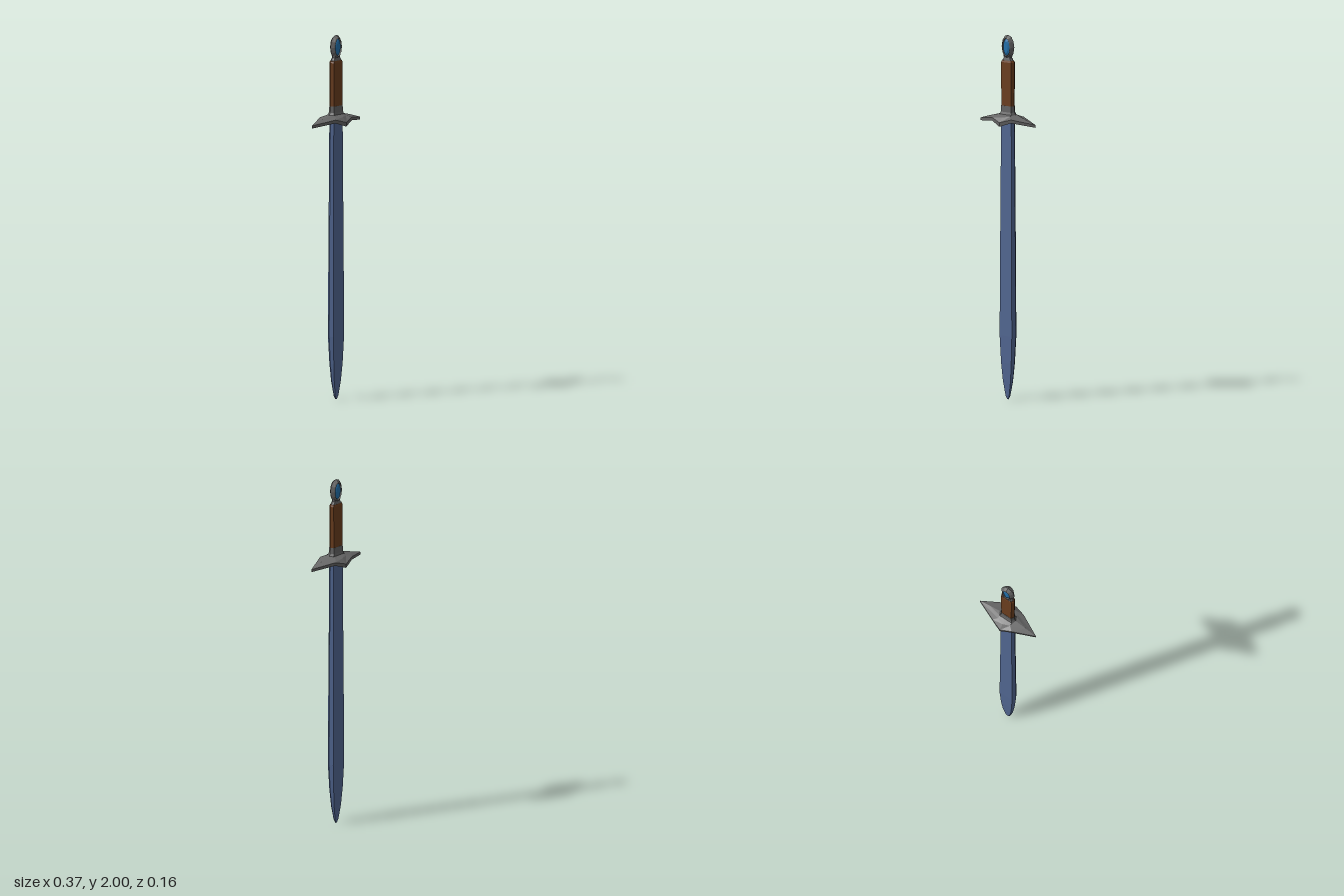
import * as THREE from 'three';

const steel = 0x546a96, leather = 0x6e4020, iron = 0x666666, blue = 0x2474b0;

// Flat-shaded skin over rings of equal count, listed bottom to top, counterclockwise from above
function loft(name, rings, color) {
  const pos = [];
  const n = rings[0].length;
  const tri = (a, b, c) => pos.push(...a, ...b, ...c);
  const middle = (r) => [0, 1, 2].map((k) => r.reduce((s, p) => s + p[k], 0) / n);
  const first = rings[0], last = rings[rings.length - 1];
  const m0 = middle(first), m1 = middle(last);
  for (let i = 0; i < n; i++) {
    const j = (i + 1) % n;
    for (let r = 0; r + 1 < rings.length; r++) {
      const a = rings[r], b = rings[r + 1];
      tri(a[i], a[j], b[j]);
      tri(a[i], b[j], b[i]);
    }
    tri(m0, first[j], first[i]);
    tri(m1, last[i], last[j]);
  }
  const g = new THREE.BufferGeometry();
  g.setAttribute('position', new THREE.Float32BufferAttribute(pos, 3));
  g.computeVertexNormals();
  const mesh = new THREE.Mesh(g, new THREE.MeshStandardMaterial({ color, flatShading: true }));
  mesh.name = name;
  return mesh;
}

// Flattened hexagon with pointed sides (eight points, two on the flats)
function section(y, w, d, f = 0.78) {
  return [[w, 0], [f * w, -d], [0, -d], [-f * w, -d], [-w, 0], [-f * w, d], [0, d], [f * w, d]]
    .map(([x, z]) => [x, y, z]);
}

// Diamond ring of the guard with separate heights for side tips, edge middles and front/back corners
function diamond(x, z, yTip, yMid, yCorner) {
  const mx = x * 0.34, mz = z * 0.73;
  return [[x, yTip, 0], [mx, yMid, -mz], [0, yCorner, -z], [-mx, yMid, -mz],
    [-x, yTip, 0], [-mx, yMid, mz], [0, yCorner, z], [mx, yMid, mz]];
}

// Upright oval ring in the xy plane at depth z, counterclockwise from the front
function oval(rx, ry, z, n = 12) {
  return Array.from({ length: n }, (_, i) => {
    const a = (i / n) * Math.PI * 2;
    return [rx * Math.cos(a), 1.934 + ry * Math.sin(a), z];
  });
}

export function createModel() {
  const sword = new THREE.Group();
  sword.name = 'sword';

  // Blade: bevelled, slightly wider toward the point
  const bladeRows = [[0, 0.004, 0.002], [0.02, 0.015, 0.006], [0.1, 0.032, 0.012], [0.2, 0.043, 0.017],
    [0.35, 0.052, 0.021], [0.8, 0.049, 0.02], [1.2, 0.046, 0.018], [1.55, 0.043, 0.017]];
  sword.add(loft('blade', bladeRows.map((r) => section(...r)), steel));

  // Guard: drooping diamond plate that rises into a collar
  sword.add(loft('guard', [
    section(1.54, 0.035, 0.015),
    diamond(0.11, 0.05, 1.532, 1.54, 1.532),
    diamond(0.182, 0.079, 1.51, 1.53, 1.507),
    diamond(0.183, 0.08, 1.525, 1.548, 1.53),
    diamond(0.115, 0.052, 1.547, 1.558, 1.555),
    section(1.565, 0.05, 0.023),
    section(1.578, 0.044, 0.019),
    section(1.612, 0.042, 0.018),
  ], iron));

  // Grip
  sword.add(loft('grip', [
    section(1.61, 0.041, 0.017), section(1.85, 0.043, 0.017), section(1.86, 0.038, 0.014),
  ], leather));

  // Neck under the pommel
  sword.add(loft('pommelNeck', [
    section(1.85, 0.039, 0.015), section(1.866, 0.031, 0.013),
    section(1.875, 0.025, 0.011), section(1.892, 0.027, 0.012),
  ], iron));

  // Pommel: lens-shaped oval with a recess on each face
  sword.add(loft('pommel', [
    oval(0.021, 0.046, -0.011), oval(0.024, 0.05, -0.02), oval(0.03, 0.055, -0.015), oval(0.042, 0.066, 0),
    oval(0.03, 0.055, 0.015), oval(0.024, 0.05, 0.02), oval(0.021, 0.046, 0.011),
  ], iron));

  // Gem showing through both faces
  sword.add(loft('gem', [
    oval(0.011, 0.033, -0.018), oval(0.021, 0.046, -0.013),
    oval(0.021, 0.046, 0.013), oval(0.011, 0.033, 0.018),
  ], blue));

  return sword;
}
